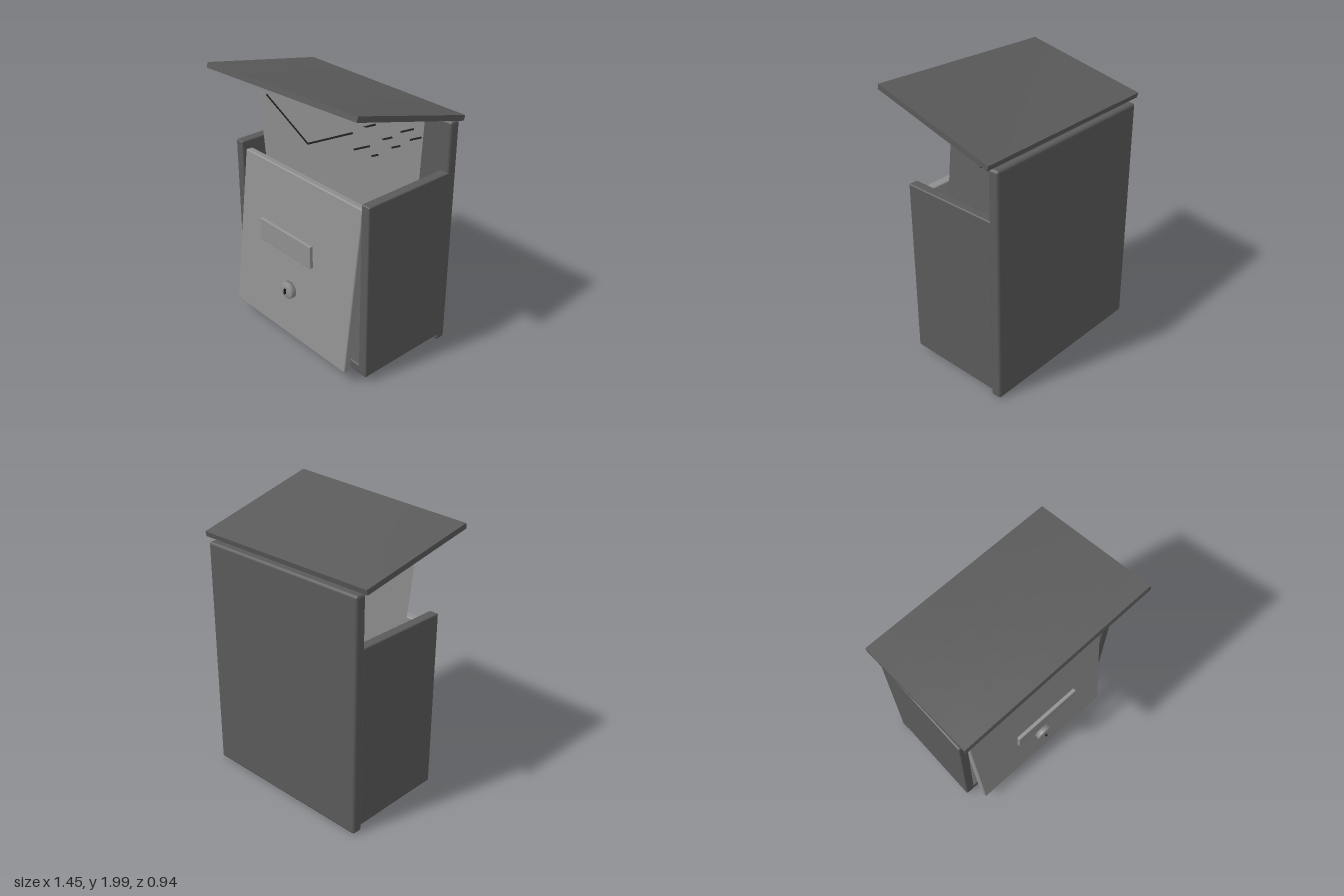
import * as THREE from 'three';
import { RoundedBoxGeometry } from 'three/addons/geometries/RoundedBoxGeometry.js';

const mat = (name, color, side = THREE.FrontSide) => {
  const m = new THREE.MeshStandardMaterial({ color, side });
  m.name = name;
  return m;
};

export function createModel() {
  const root = new THREE.Group();
  root.name = 'mailbox';
  const body = mat('dark grey body', 0x5a5a5a);
  const panel = mat('light grey metal', 0x909090);
  const paper = mat('grey paper', 0x8c8c8c, THREE.DoubleSide);
  const ink = mat('near black', 0x202020);

  const add = (name, geometry, material, x, y, z, parent = root) => {
    const m = new THREE.Mesh(geometry, material);
    m.name = name;
    m.position.set(x, y, z);
    parent.add(m);
    return m;
  };
  // Rounded box given by its minimum and maximum corners
  const slab = (name, a, b, radius, material) => add(name,
    new RoundedBoxGeometry(b[0] - a[0], b[1] - a[1], b[2] - a[2], 2, radius),
    material, (a[0] + b[0]) / 2, (a[1] + b[1]) / 2, (a[2] + b[2]) / 2);

  // Open case
  slab('backPlate', [-0.67, 0.005, -0.47], [0.67, 1.7, -0.39], 0.02, body);
  slab('leftWall', [0.6, 0.05, -0.41], [0.67, 1.345, 0.31], 0.01, body);
  slab('rightWall', [-0.67, 0.05, -0.41], [-0.6, 1.345, 0.31], 0.01, body);
  slab('floor', [-0.67, 0.05, -0.41], [0.67, 0.12, 0.31], 0.01, body);

  // Front door leaning in at the top
  const door = add('frontDoor', new RoundedBoxGeometry(1.18, 1.195, 0.058, 2, 0.01),
    panel, 0, 0.695, 0.331);
  door.rotation.x = -0.12;

  // Name plate and lock standing proud of the door
  slab('namePlate', [-0.262, 0.77, 0.41], [0.262, 0.935, 0.436], 0.005, panel);
  const dome = [[0, 0], [0.062, 0], [0.062, 0.032], [0.055, 0.038], [0.035, 0.043], [0, 0.046]]
    .map(([r, h]) => new THREE.Vector2(r, h));
  add('lock', new THREE.LatheGeometry(dome, 32), panel, 0, 0.465, 0.396).rotation.x = Math.PI / 2;
  add('keySlot', new THREE.BoxGeometry(0.01, 0.04, 0.016), ink, 0, 0.467, 0.447);

  // Small plate on the inside of the back
  slab('innerPlate', [-0.25, 1.575, -0.372], [0.25, 1.658, -0.354], 0.004, panel);

  // Twisted lid: a box whose front edge rises, more on its left
  const lidGeometry = new THREE.BoxGeometry(1.45, 0.036, 0.915, 8, 1, 8);
  const p = lidGeometry.attributes.position;
  for (let i = 0; i < p.count; i++) {
    const x = p.getX(i), y = p.getY(i), z = p.getZ(i);
    const t = z / 0.915 + 0.5;
    const rise = 0.212 + 0.036 * (x / 0.725);
    p.setXYZ(i, x, 1.733 + y + t * rise, z + 0.0125 - y * 0.25);
  }
  lidGeometry.computeVertexNormals();
  add('lid', lidGeometry, body, 0, 0, 0);

  // Letters: middle of the top edge and turn, from front to back
  const letters = [
    [-0.098, 1.762, 0.113], [0, 1.69, 0.1], [0.07, 1.7, -0.09],
    [-0.06, 1.745, 0.08], [-0.01, 1.735, 0.02], [0, 1.69, -0.06],
    [-0.06, 1.755, 0.03], [-0.03, 1.77, -0.01], [0.03, 1.69, -0.05],
  ];
  const flapTips = [[-0.045, 1.483], [0.04, 1.405], [0.05, 1.33]];
  const sheet = new THREE.PlaneGeometry(0.93, 0.62).translate(0, -0.31, 0);
  const half = 0.425, drop = 0.218;
  const strip = new THREE.BoxGeometry(Math.hypot(half, drop), 0.012, 0.004);
  letters.forEach(([x, y, turn], i) => {
    const z = 0.18 - i * 0.0645;
    const letter = new THREE.Group();
    letter.name = 'letter' + (i + 1);
    root.add(letter);
    add('envelope', sheet, paper, x, y, z, letter).rotation.z = turn;
    // V-shaped flap line
    const [tx, ty] = flapTips[i % 3];
    for (const s of [-1, 1]) {
      add('flapLine', strip, ink, tx + s * half / 2, ty + drop / 2, z + 0.003, letter)
        .rotation.z = s * Math.atan2(drop, half);
    }
  });
  return root;
}
